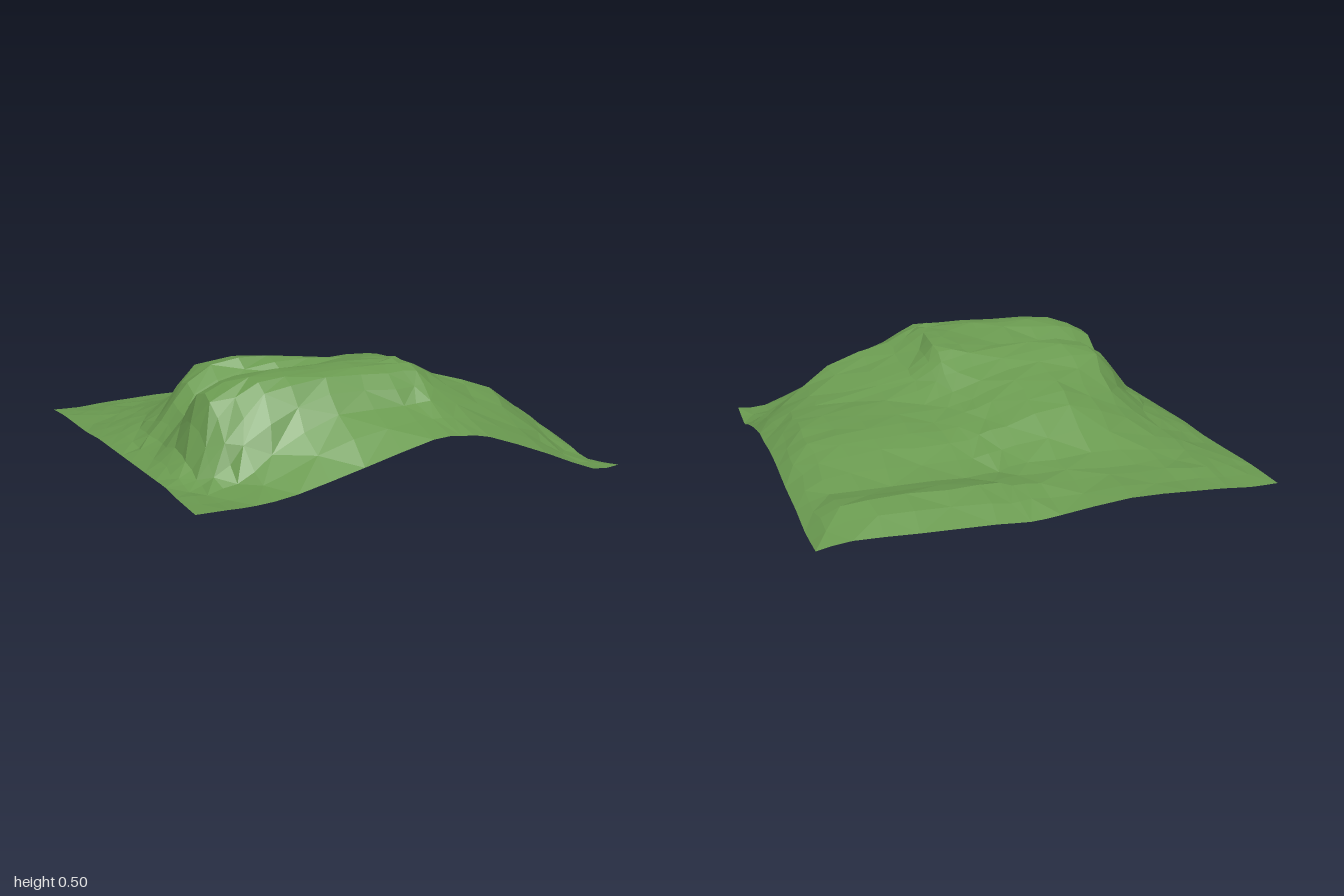
import * as THREE from 'three';

// Grid lines, closer together where the slopes are steep
const XS = [-0.99, -0.86, -0.75, -0.58, -0.3, 0, 0.13, 0.27, 0.58, 0.84, 0.98];
const ZS = [-1, -0.8, -0.63, -0.4, -0.22, -0.05, 0.12, 0.24, 0.42, 0.55, 0.66, 0.77, 0.97];

// Heights in hundredths: rows run back to front, columns from -x to +x
const HEIGHTS = [
  [8, 8, 9, 10, 11, 8, 7, 8, 9, 10, 8],
  [9, 10, 11, 12, 13, 14, 15, 16, 17, 16, 7],
  [9, 11, 13, 15, 17, 16, 14, 13, 14, 14, 9],
  [9, 13, 16, 22, 31, 26, 23, 21, 21, 18, 10],
  [10, 15, 19, 30, 38, 31, 27, 25, 25, 21, 12],
  [10, 17, 23, 43, 42, 36, 32, 28, 26, 22, 13],
  [10, 17, 31, 45, 48, 44, 42, 34, 27, 22, 12],
  [10, 16, 27, 36, 42, 46, 47, 36, 28, 21, 12],
  [10, 18, 40, 46, 48, 48, 48, 39, 31, 18, 9],
  [10, 16, 39, 47, 49, 49, 49, 42, 32, 14, 6],
  [10, 11, 25, 42, 46, 46, 46, 38, 26, 9, 3],
  [9, 9, 11, 21, 33, 34, 35, 32, 19, 4, 0],
  [8, 8, 8, 10, 17, 25, 25, 23, 12, 2, 2],
];

// Catmull-Rom sample of a list at a fractional index
function sample(list, t) {
  const n = list.length - 1;
  const i = Math.min(Math.floor(t), n - 1);
  const f = t - i;
  const b = list[i], c = list[i + 1];
  const a = i > 0 ? list[i - 1] : 2 * b - c;
  const d = i + 2 <= n ? list[i + 2] : 2 * c - b;
  return 0.5 * (2 * b + (c - a) * f + (2 * a - 5 * b + 4 * c - d) * f * f
    + (3 * b - a - 3 * c + d) * f * f * f);
}

let seed = 7;
function jitter(amount) {
  seed = (seed * 16807) % 2147483647;
  return (seed / 2147483647 - 0.5) * 2 * amount;
}

export function createModel() {
  const cols = (XS.length - 1) * 2;
  const rows = (ZS.length - 1) * 2;
  const positions = [];
  const index = [];

  // Surface points, slightly irregular away from the border
  for (let r = 0; r <= rows; r++) {
    for (let c = 0; c <= cols; c++) {
      const inner = r > 0 && r < rows && c > 0 && c < cols ? 1 : 0;
      const x = sample(XS, c / 2);
      let z = sample(ZS, r / 2);
      // The front border bows outward
      if (r === rows) z += 0.03 * Math.exp(-(((x - 0.1) / 0.4) ** 2));
      const y = sample(HEIGHTS.map((row) => sample(row, c / 2)), r / 2) / 100;
      positions.push(
        x + inner * jitter(0.012),
        Math.max(0, y + inner * jitter(0.006)),
        z + inner * jitter(0.012),
      );
    }
  }

  // Two triangles per cell, with alternating diagonals
  for (let r = 0; r < rows; r++) {
    for (let c = 0; c < cols; c++) {
      const a = r * (cols + 1) + c, b = a + 1;
      const d = a + cols + 1, e = d + 1;
      if ((r + c) % 2) index.push(a, d, b, b, d, e);
      else index.push(a, d, e, a, e, b);
    }
  }

  const indexed = new THREE.BufferGeometry();
  indexed.setAttribute('position', new THREE.Float32BufferAttribute(positions, 3));
  indexed.setIndex(index);
  const geometry = indexed.toNonIndexed();
  geometry.computeVertexNormals();

  const grass = new THREE.MeshStandardMaterial({
    color: 0x6a9a50, flatShading: true, side: THREE.DoubleSide,
  });
  const hill = new THREE.Mesh(geometry, grass);
  hill.name = 'grassyHill';
  const group = new THREE.Group();
  group.name = 'terrain';
  group.add(hill);
  return group;
}
